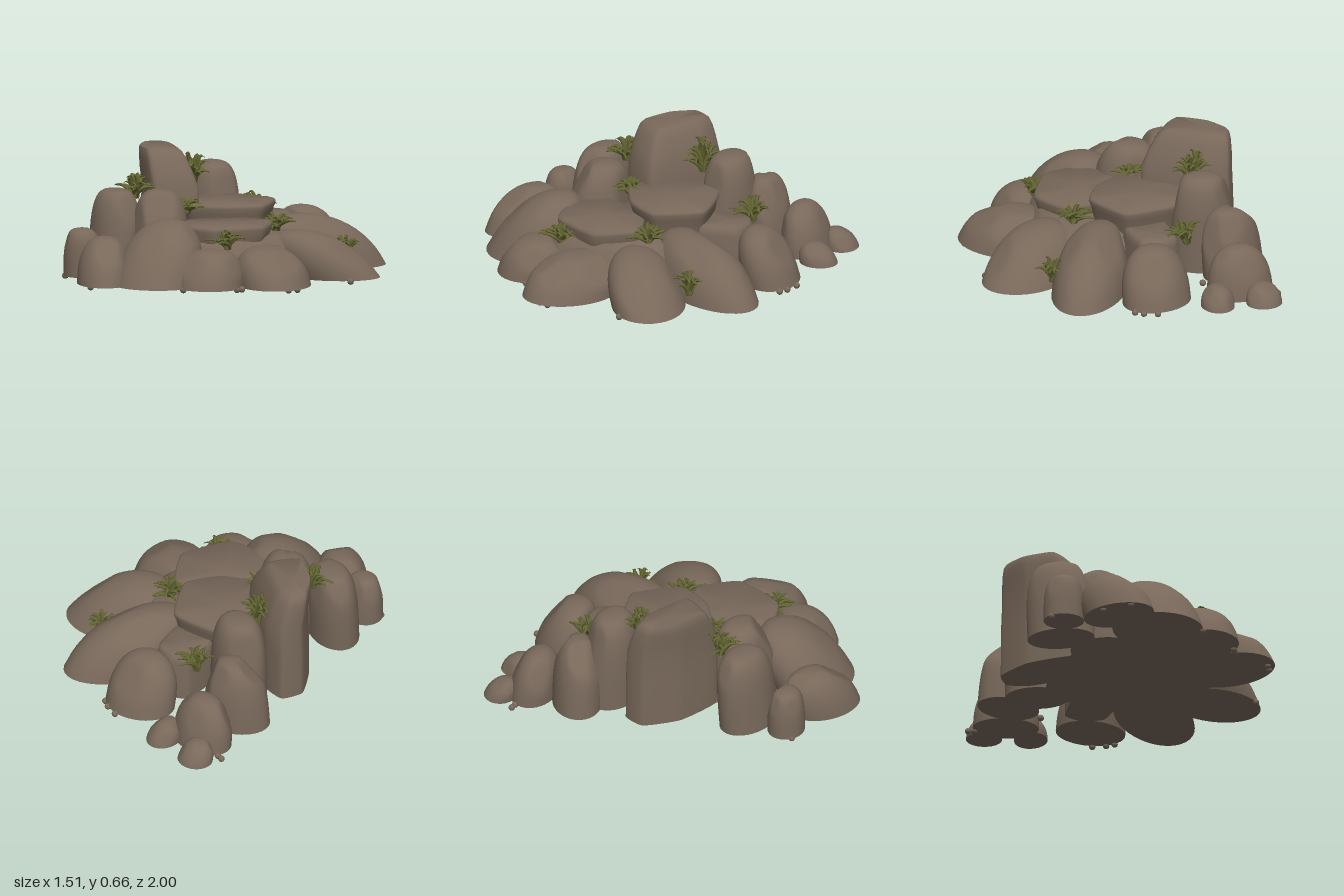
import * as THREE from 'three';
import { mergeGeometries, toCreasedNormals } from 'three/addons/utils/BufferGeometryUtils.js';

const BASE = 0.02;

function seeded(seed) {
  let s = seed * 7919 + 17;
  return () => ((s = (s * 16807) % 2147483647) / 2147483647);
}

// Flat-bottomed boulder: a sphere squared off, cut by a few planes, leaned and turned
function boulderGeometry({ x, z, rx, rz, h, turn = 0, lean = [0, 0], round = 0.8, cut = 0.94, seed }) {
  const rnd = seeded(seed);
  for (let i = 0; i < 5; i++) rnd();
  const cuts = [];
  for (let i = 0; i < 5; i++) {
    const a = rnd() * Math.PI * 2, up = 0.3 + rnd() * 0.6, f = Math.sqrt(1 - up * up);
    cuts.push({ n: new THREE.Vector3(Math.cos(a) * f, up, Math.sin(a) * f), d: cut + rnd() * 0.1 });
  }
  const geo = new THREE.SphereGeometry(1, 36, 24);
  const pos = geo.attributes.position, p = new THREE.Vector3();
  const c = Math.cos(turn), s = Math.sin(turn);
  for (let i = 0; i < pos.count; i++) {
    p.fromBufferAttribute(pos, i);
    const r = Math.hypot(p.x, p.z), k = r > 1e-6 ? Math.pow(r, round) / r : 0;
    p.set(p.x * k, p.y > 1e-6 ? Math.pow(p.y, round) : 0, p.z * k);
    for (const { n, d } of cuts) {
      const over = p.dot(n) - d;
      if (over > 0 && p.y > 0) p.addScaledVector(n, -over * 0.85);
    }
    const y = Math.max(p.y, 0), u = p.x * rx, v = p.z * rz;
    pos.setXYZ(i, x + c * u - s * v + lean[0] * y, BASE + y * (h - BASE), z + s * u + c * v + lean[1] * y);
  }
  return toCreasedNormals(geo, 0.9);
}

// Slab from a plan outline (clockwise from above) and levels of [y, scale, shiftX, shiftZ]
function slabGeometry(outline, levels, steps = 48) {
  const curve = new THREE.CatmullRomCurve3(
    outline.map(([x, z]) => new THREE.Vector3(x, 0, z)), true, 'catmullrom', 0.25);
  const ring = curve.getPoints(steps).slice(0, steps);
  const mid = ring.reduce((m, q) => m.add(q), new THREE.Vector3()).divideScalar(steps);
  const [bottom] = levels[0], [top, , topX, topZ] = levels[levels.length - 1];
  const verts = [], index = [];
  const all = [[bottom, 0], ...levels, [top, 0, topX, topZ]];
  for (const [y, k, dx = 0, dz = 0] of all)
    for (const q of ring) verts.push(mid.x + (q.x - mid.x) * k + dx, y, mid.z + (q.z - mid.z) * k + dz);
  for (let l = 0; l < all.length - 1; l++)
    for (let i = 0; i < steps; i++) {
      const a = l * steps + i, b = l * steps + (i + 1) % steps;
      index.push(a, a + steps, b, a + steps, b + steps, b);
    }
  const geo = new THREE.BufferGeometry();
  geo.setAttribute('position', new THREE.Float32BufferAttribute(verts, 3));
  geo.setIndex(index);
  return toCreasedNormals(geo, 0.9);
}

// Tuft of plump tapered blades that arch outwards
function tuftGeometry(radius, height, seed) {
  const rnd = seeded(seed), blades = [], count = 24;
  for (let b = 0; b < 6; b++) rnd();
  for (let b = 0; b < count; b++) {
    const reach = radius * (0.3 + 0.7 * rnd()), rise = height * (1.25 - 0.75 * reach / radius) * (0.8 + 0.3 * rnd());
    const geo = new THREE.CylinderGeometry(0.006, 0.009, 1, 6, 6);
    geo.translate(0, 0.5, 0);
    const pos = geo.attributes.position;
    for (let i = 0; i < pos.count; i++) {
      const t = pos.getY(i);
      const fat = 0.8 + 0.6 * Math.sin(t * Math.PI);
      pos.setXYZ(i, pos.getX(i) * fat + reach * Math.pow(t, 1.3),
        rise * Math.sin(t * 1.9) - pos.getX(i) * 0.8, pos.getZ(i) * fat + 0.015 * Math.sin(t * 3 + b));
    }
    geo.rotateY(b * 2.4 + rnd() * 0.5);
    geo.computeVertexNormals();
    blades.push(geo);
  }
  return mergeGeometries(blades);
}

export function createModel() {
  const group = new THREE.Group();
  const stone = new THREE.MeshStandardMaterial({ color: 0x78685a });
  stone.name = 'brownStone';
  const leaf = new THREE.MeshStandardMaterial({ color: 0x636532 });
  leaf.name = 'oliveLeaf';
  const add = (name, geo, mat) => {
    const mesh = new THREE.Mesh(geo, mat);
    mesh.name = name;
    group.add(mesh);
    return mesh;
  };

  // Boulders around the rim
  const boulders = [
    { x: -0.46, z: -0.32, rx: 0.175, rz: 0.14, h: 0.55, turn: 0.3, round: 0.52, cut: 1.02 },
    { x: -0.58, z: -0.49, rx: 0.18, rz: 0.135, h: 0.41, turn: -0.35, round: 0.65, lean: [0.03, 0] },
    { x: -0.53, z: -0.74, rx: 0.18, rz: 0.13, h: 0.29, turn: 0.1, round: 0.85, lean: [0, 0.03] },
    { x: -0.61, z: -0.91, rx: 0.098, rz: 0.09, h: 0.125, round: 0.9, lean: [0, 0.04] },
    { x: -0.36, z: -0.86, rx: 0.09, rz: 0.105, h: 0.13, round: 0.9, lean: [-0.01, 0.03] },
    { x: -0.07, z: -0.69, rx: 0.195, rz: 0.155, h: 0.31, turn: -0.2, round: 0.8, lean: [0, 0.08] },
    { x: 0.22, z: -0.43, rx: 0.355, rz: 0.2, h: 0.315, turn: -1.0, round: 0.85, lean: [-0.08, 0.13] },
    { x: 0.5, z: -0.18, rx: 0.26, rz: 0.2, h: 0.275, turn: -0.3, round: 0.85, lean: [-0.14, 0.13] },
    { x: 0.46, z: 0.28, rx: 0.27, rz: 0.2, h: 0.22, turn: 0.85, round: 0.75, lean: [-0.08, -0.03] },
    { x: 0.25, z: 0.58, rx: 0.185, rz: 0.18, h: 0.22, round: 0.75, lean: [-0.02, -0.05] },
    { x: -0.04, z: 0.69, rx: 0.245, rz: 0.225, h: 0.355, turn: 0.2, round: 0.85, lean: [-0.03, -0.17] },
    { x: -0.29, z: 0.82, rx: 0.205, rz: 0.145, h: 0.265, turn: 0.8, round: 0.8, lean: [-0.05, -0.07] },
    { x: -0.56, z: 0.67, rx: 0.11, rz: 0.1, h: 0.28, turn: 0.2, round: 0.55, cut: 1 },
    { x: -0.52, z: 0.45, rx: 0.185, rz: 0.13, h: 0.47, turn: 0.5, round: 0.52, cut: 1.08, lean: [-0.01, -0.03] },
    { x: -0.26, z: 0.37, rx: 0.185, rz: 0.155, h: 0.48, turn: 0.6, round: 0.6, lean: [-0.02, -0.02] },
  ];
  boulders.forEach((b, i) => add(`boulder${i + 1}`, boulderGeometry({ ...b, seed: i + 3 }), stone));

  // Tall standing rock
  add('tallRock', slabGeometry(
    [[-0.66, -0.2], [-0.52, -0.17], [-0.24, 0.06], [-0.4, 0.25], [-0.62, 0.1], [-0.72, -0.09]],
    [[BASE, 1], [0.3, 0.99], [0.46, 0.96], [0.55, 0.88, -0.02, 0.01], [0.61, 0.8, -0.035, 0.015],
      [0.645, 0.73, -0.045, 0.02], [0.662, 0.64, -0.05, 0.025]]), stone);

  // Stepped flat ledges
  add('upperLedge', slabGeometry(
    [[-0.4, -0.26], [-0.26, -0.32], [-0.02, -0.32], [0.1, -0.07], [-0.02, 0.1], [-0.23, 0.18], [-0.42, 0.05]],
    [[0.2, 0.85], [0.33, 0.95], [0.365, 1], [0.378, 0.99], [0.385, 0.95]]), stone);
  add('lowerLedge', slabGeometry(
    [[-0.12, 0.16], [-0.03, 0.02], [0.2, -0.02], [0.32, 0.2], [0.17, 0.45], [-0.03, 0.46], [-0.18, 0.32]],
    [[0.1, 0.8], [0.23, 0.92], [0.295, 1], [0.311, 0.99], [0.318, 0.95]]), stone);
  add('rearLedge', slabGeometry(
    [[-0.26, -0.5], [-0.16, -0.55], [-0.04, -0.5], [-0.02, -0.28], [-0.26, -0.26]],
    [[BASE, 1], [0.24, 0.97], [0.28, 0.92], [0.29, 0.82]]), stone);

  // Solid core that closes the gaps between the rocks
  add('core', slabGeometry(
    [[-0.42, -0.28], [0, -0.38], [0.32, -0.22], [0.42, 0.08], [0.28, 0.48], [-0.08, 0.58], [-0.34, 0.44], [-0.46, 0.1]],
    [[BASE, 1], [0.2, 0.88], [0.25, 0.75]]), stone);

  // Pebbles half sunk into the feet of the boulders
  const pebbles = [
    [-0.72, -0.82], [-0.69, -0.81], [-0.38, -0.56], [-0.02, -0.85], [0.05, -0.82], [0.09, -0.79], [0.7, -0.08],
    [0.67, 0.34], [0.65, 0.39], [0.43, 0.52], [0.42, 0.55], [-0.26, 0.97], [-0.39, 0.87], [-0.64, 0.72], [0.2, 0.74],
  ];
  const pebbleGeo = new THREE.SphereGeometry(0.018, 10, 8);
  pebbles.forEach(([x, z], i) => add(`pebble${i + 1}`, pebbleGeo, stone).position.set(x, 0.018, z));

  // Plant tufts: x, y, z, radius, height
  const tufts = [
    [-0.31, 0.24, -0.5, 0.14, 0.13], [0.42, 0.08, -0.385, 0.11, 0.13], [-0.465, 0.42, -0.16, 0.12, 0.18],
    [0.19, 0.25, -0.07, 0.13, 0.09], [-0.23, 0.34, 0.18, 0.11, 0.08], [-0.5, 0.41, 0.29, 0.13, 0.12],
    [0.24, 0.21, 0.41, 0.12, 0.095],
  ];
  tufts.forEach(([x, y, z, r, h], i) => {
    add(`plantTuft${i + 1}`, tuftGeometry(r, h, i + 11), leaf).position.set(x, y, z);
  });

  return group;
}
